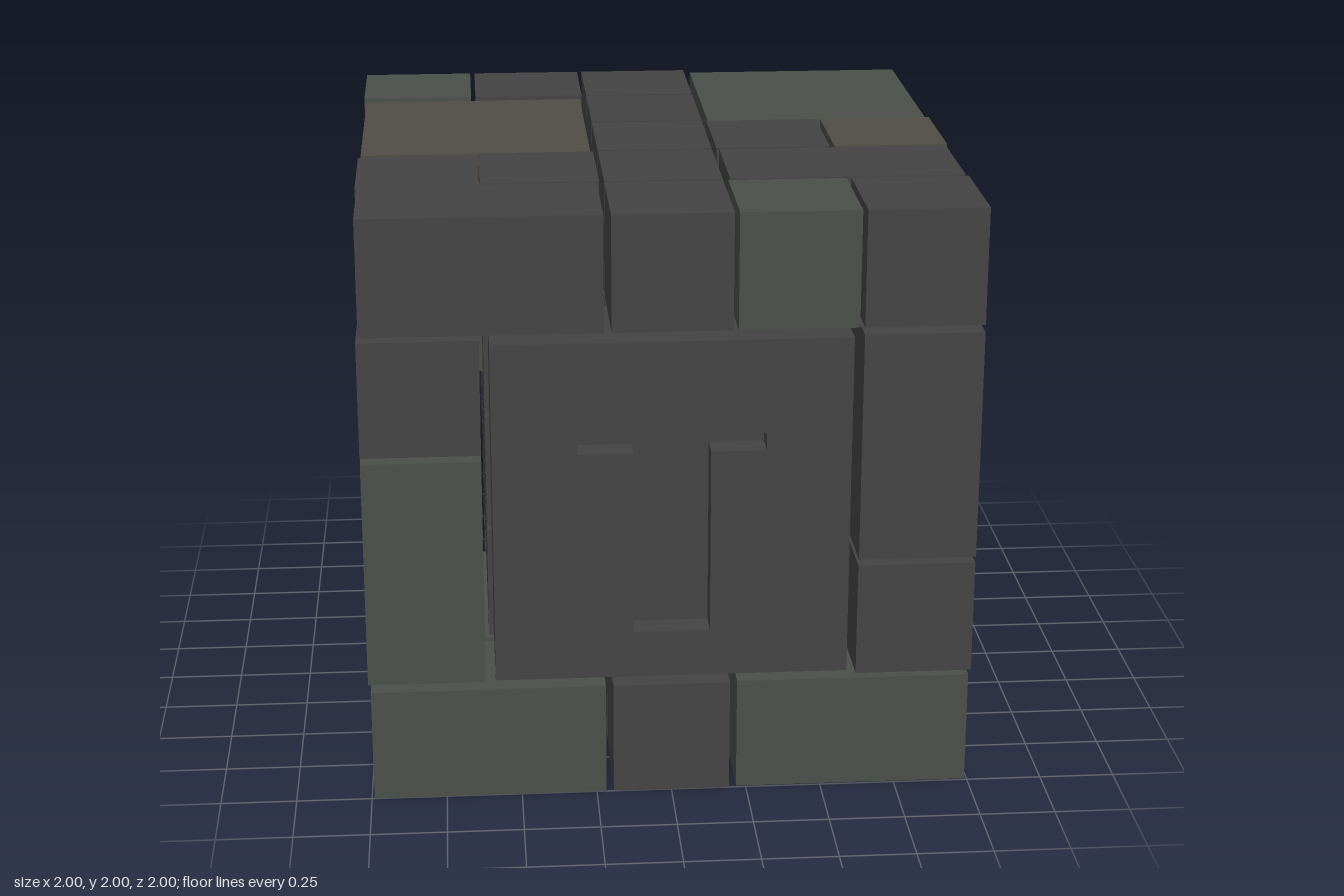
import * as THREE from 'three';

const N = 5;          // cells per side
const FILL = 0.96;    // share of its cell a block fills, leaving gaps
const PITCH = 2 / (N - 1 + FILL);
const ARROW_DEPTH = 0.09;

const mats = {};
for (const [key, color] of Object.entries({ dark: 0x444444, green: 0x4a504a, olive: 0x504d46 })) {
  mats[key] = new THREE.MeshStandardMaterial({ color, flatShading: true });
}

// Blocks larger than one cell, or coloured: first cell, size in cells, colour
const BLOCKS = [
  // large corner and side blocks
  [[3, 3, 0], [2, 2, 2], 'green'],
  [[0, 3, 1], [2, 2, 2], 'olive'],
  [[2, 1, 0], [2, 2, 1], 'olive'],
  [[0, 1, 3], [1, 2, 2], 'green'],
  // top layer
  [[0, 4, 4], [2, 1, 1], 'dark'],
  [[3, 4, 3], [2, 1, 1], 'dark'],
  [[3, 4, 4], [1, 1, 1], 'green'],
  [[4, 4, 2], [1, 1, 1], 'olive'],
  [[0, 4, 0], [1, 1, 1], 'green'],
  [[0, 3, 3], [1, 2, 1], 'dark'],
  // middle layers
  [[4, 2, 4], [1, 2, 1], 'dark'],
  [[4, 1, 3], [1, 1, 2], 'dark'],
  [[0, 1, 0], [1, 2, 1], 'olive'],
  [[4, 0, 2], [1, 2, 1], 'dark'],
  // bottom layer
  [[0, 0, 4], [2, 1, 1], 'green'],
  [[3, 0, 3], [2, 1, 2], 'green'],
  [[0, 0, 2], [2, 1, 2], 'green'],
  [[0, 0, 0], [1, 1, 2], 'green'],
  [[1, 0, 0], [1, 1, 1], 'green'],
  [[4, 0, 0], [1, 1, 2], 'olive'],
  [[1, 0, 1], [2, 1, 1], 'dark'],
  [[3, 0, 1], [1, 1, 2], 'dark'],
];

// Centre of a run of cells along one axis
const middle = (start, size) => (start + size / 2 - N / 2) * PITCH;

function makeBlock(cell, size, color, name) {
  const mesh = new THREE.Mesh(
    new THREE.BoxGeometry(...size.map((n) => n * PITCH * FILL)), mats[color]);
  mesh.position.set(middle(cell[0], size[0]), middle(cell[1], size[1]) + 1, middle(cell[2], size[2]));
  mesh.name = name;
  return mesh;
}

// Front panel: slab with an arrow-shaped recess
function makeArrowPanel() {
  const panel = new THREE.Group();
  panel.name = 'arrowPanel';
  const half = 1.5 * PITCH * FILL;
  const depth = PITCH * FILL;
  const face = new THREE.Shape([
    [-half, -half], [half, -half], [half, half], [-half, half],
  ].map(([x, y]) => new THREE.Vector2(x, y)));
  const arrow = [
    [-0.125, -0.42], [0.125, -0.42], [0.125, 0.205], [0.305, 0.205], [0.305, 0.26],
    [0.065, 0.44], [-0.065, 0.44], [-0.305, 0.26], [-0.305, 0.205], [-0.125, 0.205],
  ].map(([x, y]) => new THREE.Vector2(x, y));
  face.holes.push(new THREE.Path(arrow));

  const front = new THREE.Mesh(
    new THREE.ExtrudeGeometry(face, { depth: ARROW_DEPTH, bevelEnabled: false }), mats.dark);
  front.name = 'panelFace';
  front.position.z = depth / 2 - ARROW_DEPTH;
  const back = new THREE.Mesh(
    new THREE.BoxGeometry(2 * half, 2 * half, depth - ARROW_DEPTH), mats.dark);
  back.name = 'panelBack';
  back.position.z = -ARROW_DEPTH / 2;
  panel.add(front, back);
  panel.position.set(0, 1, middle(4, 1));
  return panel;
}

export function createModel() {
  const model = new THREE.Group();
  model.name = 'blockCube';
  const used = new Set();
  const claim = ([x, y, z], [w, h, d]) => {
    for (let i = x; i < x + w; i++)
      for (let j = y; j < y + h; j++)
        for (let k = z; k < z + d; k++) used.add(`${i},${j},${k}`);
  };

  claim([1, 1, 4], [3, 3, 1]);
  model.add(makeArrowPanel());

  for (const [cell, size, color] of BLOCKS) {
    claim(cell, size);
    model.add(makeBlock(cell, size, color, `${color}Block`));
  }

  // Every cell still free holds a small dark block
  for (let x = 0; x < N; x++)
    for (let y = 0; y < N; y++)
      for (let z = 0; z < N; z++)
        if (!used.has(`${x},${y},${z}`)) model.add(makeBlock([x, y, z], [1, 1, 1], 'dark', 'smallBlock'));

  return model;
}
